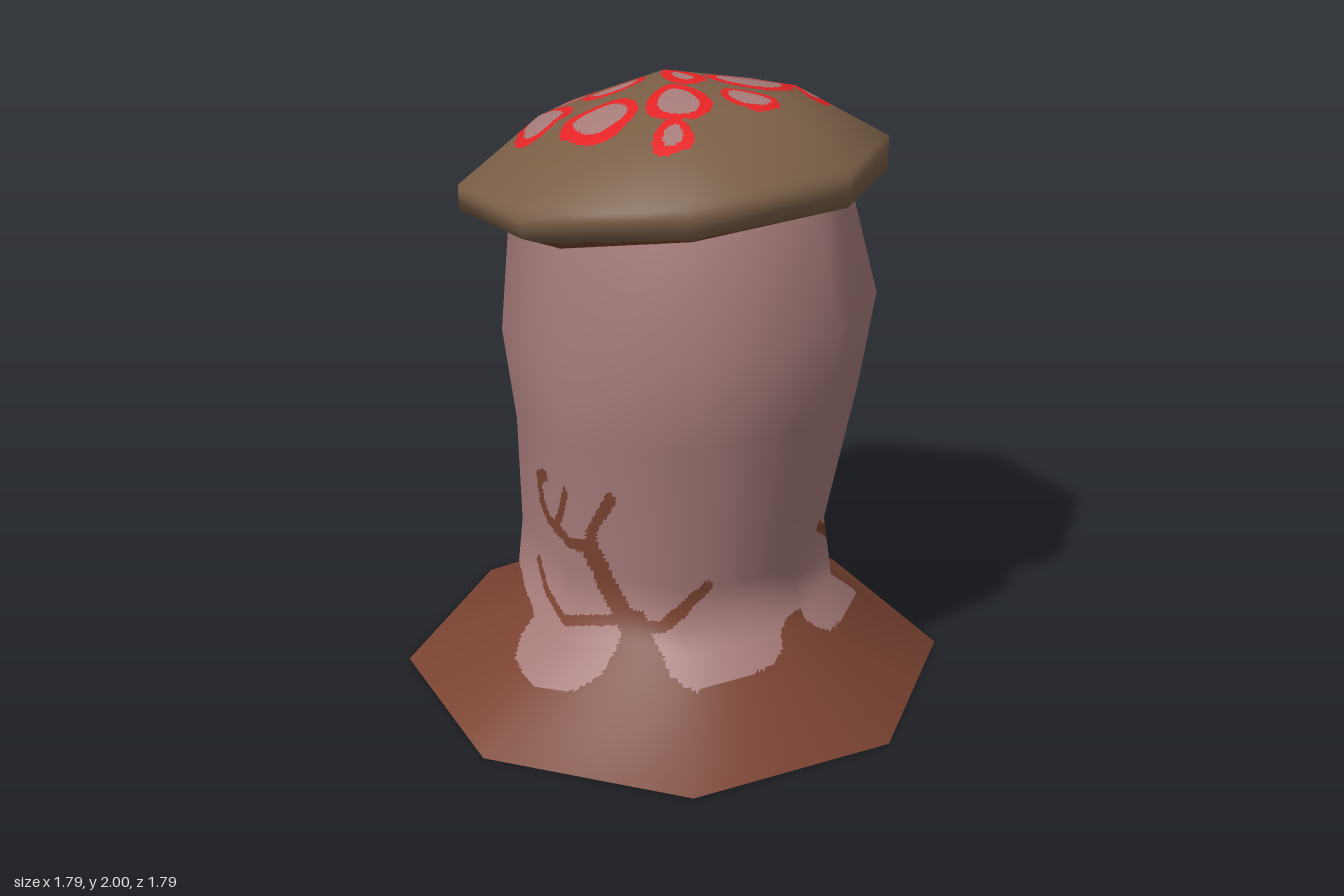
import * as THREE from 'three';

const mat = (name, color) => {
  const m = new THREE.MeshStandardMaterial({ color, side: THREE.DoubleSide });
  m.name = name;
  return m;
};
const SIDES = 8;
const PINK = 0, BROWN = 1, OLIVE = 2, RED = 3;

// Octagonal rings: height, radius, z offset, tilt (rise per unit z), cells per facet in the band above
const stemRings = [
  { y: 0, r: 0.895, cz: 0, tilt: 0, n: 32 },
  { y: 0.245, r: 0.53, cz: 0, tilt: 0.066, n: 32 },
  { y: 0.5, r: 0.5, cz: 0, tilt: -0.04, n: 32 },
  { y: 0.94, r: 0.55, cz: 0.06, tilt: 0.13, n: 4 },
  { y: 1.245, r: 0.592, cz: 0.066, tilt: 0.115, n: 4 },
  { y: 1.572, r: 0.535, cz: 0.024, tilt: 0.165, n: 0 },
];
const capRings = [
  { y: 1.572, r: 0.53, cz: 0.024, tilt: 0.165, n: 16 },
  { y: 1.63, r: 0.667, cz: 0, tilt: 0.11, n: 4 },
  { y: 1.722, r: 0.667, cz: 0, tilt: 0.14, n: 32 },
  { y: 1.905, r: 0.395, cz: -0.028, tilt: 0.15, n: 32 },
  { y: 2, r: 0, cz: -0.04, tilt: 0, n: 0 },
];

// Smooth low-sided surface through the rings, split finely so paint(point, band, t) can colour it
function paintedSurface(name, rings, materials, paint) {
  const pos = [], index = [];
  rings.forEach(({ y, r, cz, tilt }, i) => {
    for (let k = 0; k < SIDES; k++) {
      const a = (k / SIDES) * Math.PI * 2;
      pos.push(r * Math.sin(a), y + tilt * r * Math.cos(a), cz + r * Math.cos(a));
      if (i === rings.length - 1) continue;
      const A = i * SIDES + k, B = i * SIDES + ((k + 1) % SIDES);
      index.push(A, B, B + SIDES, A, B + SIDES, A + SIDES);
    }
  });
  const coarse = new THREE.BufferGeometry();
  coarse.setAttribute('position', new THREE.Float32BufferAttribute(pos, 3));
  coarse.setIndex(index);
  coarse.computeVertexNormals();
  const { position, normal } = coarse.attributes;
  rings.forEach(({ r }, i) => {
    if (r === 0) for (let k = 0; k < SIDES; k++) normal.setXYZ(i * SIDES + k, 0, 1, 0);
  });

  const sample = (attr, i, k, u, t) => {
    const at = (ring, s) => new THREE.Vector3().fromBufferAttribute(attr, ring * SIDES + (s % SIDES));
    return at(i, k).lerp(at(i, k + 1), u).lerp(at(i + 1, k).lerp(at(i + 1, k + 1), u), t);
  };
  const buckets = materials.map(() => ({ p: [], n: [] }));
  for (let i = 0; i < rings.length - 1; i++) {
    const n = rings[i].n;
    for (let k = 0; k < SIDES; k++) {
      const grid = [];
      for (let v = 0; v <= n; v++) for (let u = 0; u <= n; u++) {
        grid.push({
          p: sample(position, i, k, u / n, v / n),
          n: sample(normal, i, k, u / n, v / n).normalize(), t: v / n,
        });
      }
      const triangle = (a, b, c) => {
        const mid = a.p.clone().add(b.p).add(c.p).divideScalar(3);
        const bucket = buckets[paint(mid, i, (a.t + b.t + c.t) / 3)];
        for (const q of [a, b, c]) {
          bucket.p.push(q.p.x, q.p.y, q.p.z);
          bucket.n.push(q.n.x, q.n.y, q.n.z);
        }
      };
      for (let v = 0; v < n; v++) for (let u = 0; u < n; u++) {
        const a = grid[v * (n + 1) + u], b = grid[v * (n + 1) + u + 1];
        const d = grid[(v + 1) * (n + 1) + u], c = grid[(v + 1) * (n + 1) + u + 1];
        triangle(a, b, c);
        if (rings[i + 1].r > 0 || v < n - 1) triangle(a, c, d);
      }
    }
  }
  const geo = new THREE.BufferGeometry();
  let start = 0;
  buckets.forEach((b, m) => {
    geo.addGroup(start, b.p.length / 3, m);
    start += b.p.length / 3;
  });
  geo.setAttribute('position', new THREE.Float32BufferAttribute(buckets.flatMap(b => b.p), 3));
  geo.setAttribute('normal', new THREE.Float32BufferAttribute(buckets.flatMap(b => b.n), 3));
  const mesh = new THREE.Mesh(geo, materials);
  mesh.name = name;
  return mesh;
}

// Scalloped top of the earth colour: [degrees from the front, height], mirrored left and right
const soilEdge = [
  [0, 0.34], [4, 0.325], [9, 0.25], [15, 0.215], [28, 0.205], [42, 0.2], [50, 0.23], [56, 0.31],
  [60, 0.4], [67, 0.4], [70, 0.28], [73, 0.2], [79, 0.16], [92, 0.15], [106, 0.155], [113, 0.185],
  [120, 0.25], [128, 0.29], [135, 0.36], [141, 0.3], [150, 0.24], [160, 0.23], [166, 0.2],
  [170, 0.14], [174, 0.115], [180, 0.108],
];
// Root-like veins climbing the stem: half width and path of [degrees, height]
const veins = [
  { w: 0.034, path: [[65, 0.34], [76, 0.48], [81, 0.6]] },
  { w: 0.018, path: [[81, 0.6], [79, 0.67], [71, 0.79]] },
  { w: 0.022, path: [[80, 0.59], [92, 0.61], [106, 0.615], [112, 0.66], [113, 0.74], [107, 0.77]] },
  { w: 0.018, path: [[99, 0.62], [93, 0.7], [89, 0.78]] },
  { w: 0.018, path: [[67, 0.365], [92, 0.325], [108, 0.36], [117, 0.43]] },
  { w: 0.02, path: [[68, 0.34], [53, 0.36], [43, 0.45], [36, 0.49]] },
  { w: 0.011, path: [[136, 0.33], [150, 0.36], [158, 0.44]] },
];
const ARC = 0.0089; // stem arc length per degree

function segmentDistance(x, y, [a0, y0], [a1, y1]) {
  const dx = (a1 - a0) * ARC, dy = y1 - y0, px = x - a0 * ARC, py = y - y0;
  const s = THREE.MathUtils.clamp((px * dx + py * dy) / (dx * dx + dy * dy), 0, 1);
  return Math.hypot(px - s * dx, py - s * dy);
}

function paintStem(p) {
  if (p.y > 0.85) return PINK;
  const deg = THREE.MathUtils.radToDeg(Math.atan2(Math.abs(p.x), p.z));
  const j = Math.max(1, soilEdge.findIndex(e => e[0] >= deg));
  const [a0, y0] = soilEdge[j - 1], [a1, y1] = soilEdge[j];
  if (p.y < THREE.MathUtils.mapLinear(deg, a0, a1, y0, y1)) return BROWN;
  const onVein = veins.some(({ w, path }) =>
    path.slice(1).some((q, i) => segmentDistance(deg * ARC, p.y, path[i], q) < w));
  return onVein ? BROWN : PINK;
}

// Cap spots, mirrored: centre x, z, half length, half width, direction of length, rim width
const spots = [
  [0, 0.035, 0.077, 0.06, 90, 0.036], [0.325, 0, 0.122, 0.112, 0, 0.036],
  [0.165, 0.16, 0.136, 0.096, 50, 0.036], [0, 0.295, 0.098, 0.07, 90, 0.024],
  [0.32, 0.277, 0.066, 0.06, 45, 0.03], [0.107, -0.152, 0.1, 0.074, -58, 0.028],
  [0.118, -0.37, 0.12, 0.076, -48, 0.028], [0.307, -0.262, 0.1, 0.088, 60, 0.03],
];

function paintCap(p, band, t) {
  // Frayed earth-coloured ring under the cap
  if (band === 0) return t < 0.5 + 0.12 * Math.sin(Math.atan2(p.x, p.z) * 28) ? BROWN : OLIVE;
  if (band === 1) return OLIVE;
  for (const [cx, cz, a, b, deg, rim] of spots) {
    const r = THREE.MathUtils.degToRad(deg);
    const dx = Math.abs(p.x) - cx, dz = p.z - cz;
    const u = dx * Math.cos(r) + dz * Math.sin(r), v = dz * Math.cos(r) - dx * Math.sin(r);
    const wide = 1 + 0.18 * u / a; // slightly egg-shaped
    if (Math.hypot(u / (a - rim), v / ((b - rim) * wide)) < 1) return PINK;
    if (Math.hypot(u / a, v / (b * wide)) < 1) return RED;
  }
  return OLIVE;
}

export function createModel() {
  const materials = [
    mat('dusty pink', 0xa67b7a), mat('earth brown', 0x7a4331),
    mat('olive brown', 0x7a5e46), mat('bright red', 0xe32324),
  ];
  const group = new THREE.Group();
  group.name = 'mushroom';
  group.add(paintedSurface('stem', stemRings, materials, paintStem));
  group.add(paintedSurface('cap', capRings, materials, paintCap));
  return group;
}
